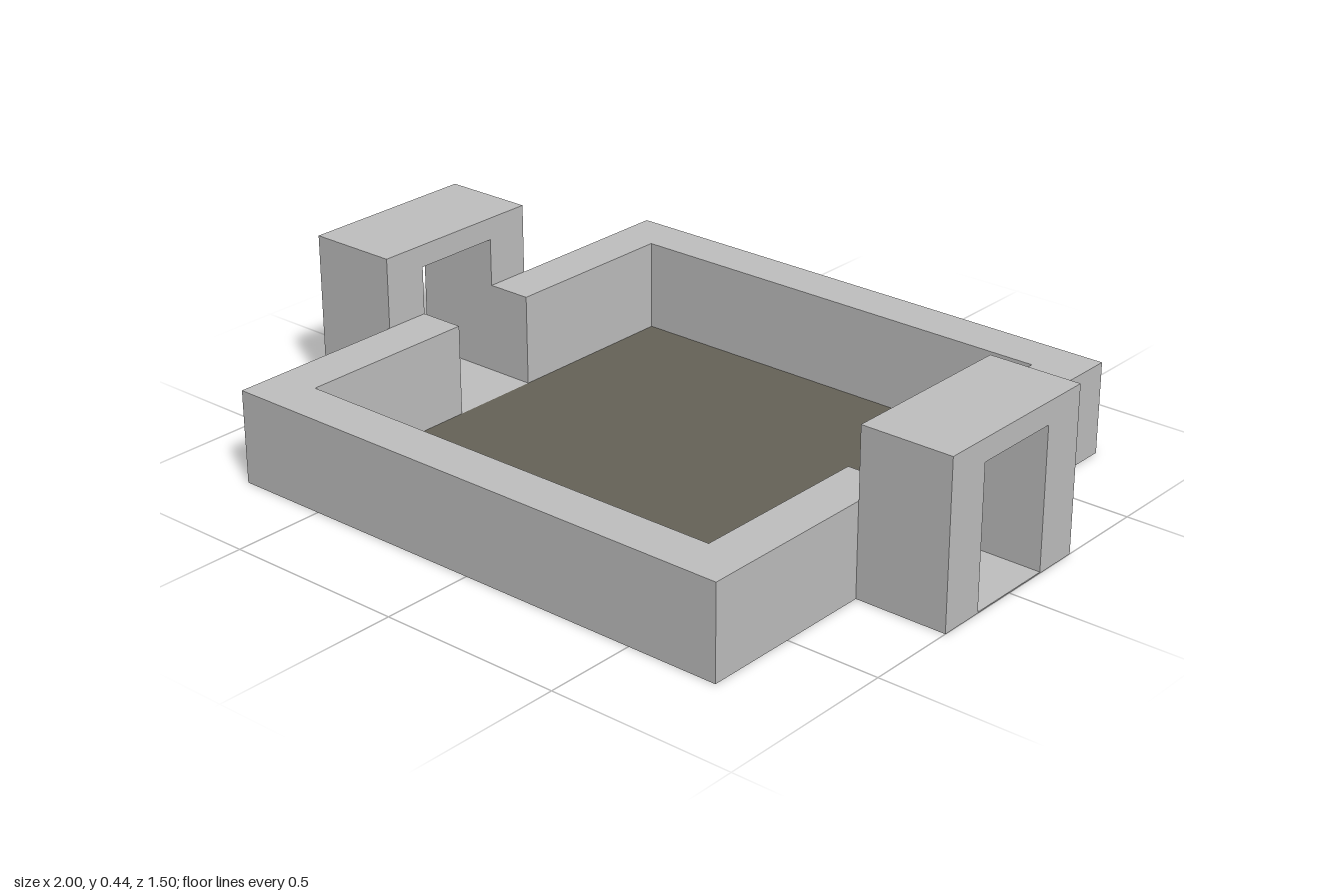
import * as THREE from 'three';

const HALF = 0.75, INNER = 0.625, WALL_H = 0.25;
const GATE_HALF = 0.25, GATE_H = 0.44, DOOR_HALF = 0.125, DOOR_H = 0.38;
const FLOOR_T = 0.003;

const shapeOf = (points) => new THREE.Shape(points.map(([x, y]) => new THREE.Vector2(x, y)));
const extrude = (points, depth) =>
  new THREE.ExtrudeGeometry(shapeOf(points), { depth, bevelEnabled: false });

export function createModel() {
  const stone = new THREE.MeshStandardMaterial({ color: 0xc0c0c0 });
  stone.name = 'greyStone';
  const earth = new THREE.MeshStandardMaterial({ color: 0x666358 });
  earth.name = 'brownEarth';

  const model = new THREE.Group();
  model.name = 'walledYard';
  const add = (name, geometry, material, x = 0, y = 0, z = 0) => {
    const mesh = new THREE.Mesh(geometry, material);
    mesh.name = name;
    mesh.position.set(x, y, z);
    model.add(mesh);
  };

  // Sunken yard floor
  add('yardFloor', new THREE.BoxGeometry(2 * INNER, FLOOR_T, 2 * INNER), earth, 0, FLOOR_T / 2, 0);

  // Two C-shaped walls, leaving a gap at each side
  for (const [name, s] of [['frontWall', 1], ['backWall', -1]]) {
    const wall = extrude([
      [-HALF, DOOR_HALF], [-INNER, DOOR_HALF], [-INNER, INNER], [INNER, INNER],
      [INNER, DOOR_HALF], [HALF, DOOR_HALF], [HALF, HALF], [-HALF, HALF],
    ], WALL_H);
    wall.rotateX(-Math.PI / 2);
    if (s > 0) wall.rotateY(Math.PI);
    add(name, wall, stone);
  }

  // Gatehouses with an open passage and a thin threshold
  for (const [side, s] of [['left', 1], ['right', -1]]) {
    const gate = extrude([
      [-GATE_HALF, 0], [-DOOR_HALF, 0], [-DOOR_HALF, DOOR_H], [DOOR_HALF, DOOR_H],
      [DOOR_HALF, 0], [GATE_HALF, 0], [GATE_HALF, GATE_H], [-GATE_HALF, GATE_H],
    ], 1 - HALF);
    gate.rotateY(Math.PI / 2);
    add(side + 'Gatehouse', gate, stone, s > 0 ? HALF : -1);
    add(side + 'Threshold', new THREE.BoxGeometry(1 - INNER, FLOOR_T, 2 * DOOR_HALF), stone,
      s * (1 + INNER) / 2, FLOOR_T / 2, 0);
  }
  return model;
}
